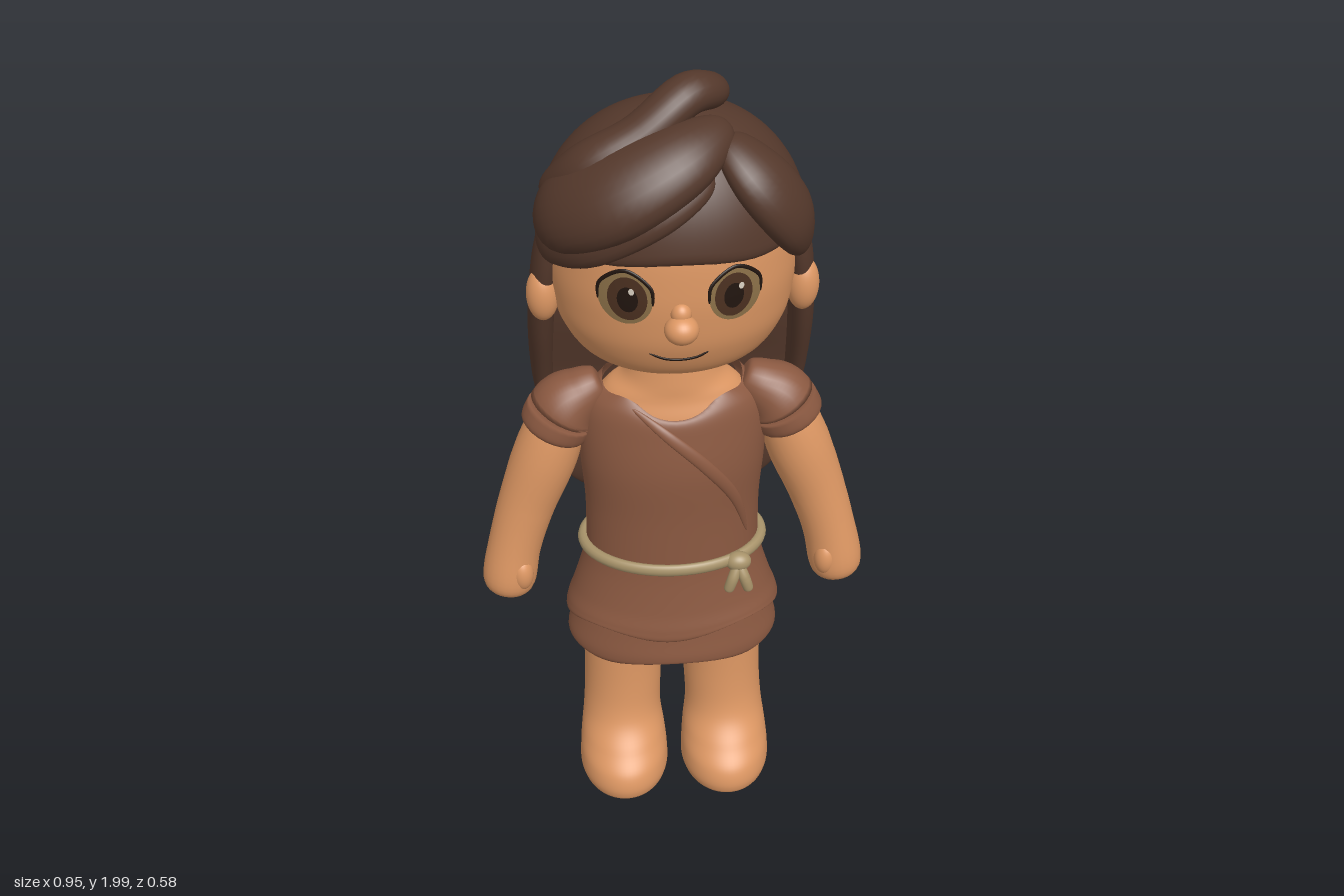
import * as THREE from 'three';

const paint = (name, color) => {
  const m = new THREE.MeshStandardMaterial({ color, side: THREE.DoubleSide });
  m.name = name;
  return m;
};

// Catmull-Rom interpolation through rows of numbers
function sample(rows, t) {
  const n = rows.length - 1, f = t * n, i = Math.min(Math.floor(f), n - 1), s = f - i;
  const at = k => rows[Math.max(0, Math.min(n, k))];
  const [a, b, c, d] = [at(i - 1), at(i), at(i + 1), at(i + 2)];
  return b.map((_, k) => b[k] + 0.5 * s * (c[k] - a[k]
    + s * (2 * a[k] - 5 * b[k] + 4 * c[k] - d[k] + s * (3 * (b[k] - c[k]) + d[k] - a[k]))));
}

// Closed-around grid surface, turned so that it faces outwards
function grid(fn, nu = 40, nv = 40) {
  const pos = [], idx = [];
  for (let j = 0; j <= nv; j++) for (let i = 0; i < nu; i++) pos.push(...fn(i / nu, j / nv));
  for (let j = 0; j < nv; j++) for (let i = 0; i < nu; i++) {
    const a = j * nu + i, b = j * nu + (i + 1) % nu;
    idx.push(a, b, b + nu, a, b + nu, a + nu);
  }
  const geo = new THREE.BufferGeometry();
  geo.setAttribute('position', new THREE.Float32BufferAttribute(pos, 3));
  geo.computeBoundingBox();
  const mid = geo.boundingBox.getCenter(new THREE.Vector3());
  const p = k => new THREE.Vector3().fromArray(pos, idx[k] * 3).sub(mid);
  let volume = 0;
  for (let k = 0; k < idx.length; k += 3) volume += p(k).dot(p(k + 1).cross(p(k + 2)));
  geo.setIndex(volume < 0 ? idx.reverse() : idx);
  geo.computeVertexNormals();
  return geo;
}

// Stacked ellipses: rows of [y, cx, cz, rx, rz]; shift moves heights for hems
const loft = (rows, shift = () => 0) => grid((u, v) => {
  const [y, cx, cz, rx, rz] = sample(rows, v), a = u * Math.PI * 2;
  return [cx + rx * Math.cos(a), y + shift(a, v), cz + rz * Math.sin(a)];
}, 64, 48);

// Rounded strand: rows of [x, y, z, radius], flattened towards a centre
function strand(rows, flat = 1, round = 4, centre = [0, 1.6, 0]) {
  const C = new THREE.Vector3(...centre);
  const at = t => new THREE.Vector3(...sample(rows, t).slice(0, 3));
  return grid((u, v) => {
    const t = 0.5 - 0.5 * Math.cos(Math.PI * v), P = at(t);
    const T = at(Math.min(1, t + 0.01)).sub(at(Math.max(0, t - 0.01))).normalize();
    const O = P.clone().sub(C).projectOnPlane(T).normalize(), S = T.clone().cross(O);
    const r = sample(rows, t)[3] * Math.sqrt(Math.max(0, 1 - Math.abs(2 * t - 1) ** (2 * round)));
    const a = u * Math.PI * 2;
    return P.addScaledVector(S, r * Math.cos(a)).addScaledVector(O, r * flat * Math.sin(a)).toArray();
  }, 24, 40);
}

const ball = (x, y, z, rx, ry, rz) =>
  new THREE.SphereGeometry(1, 32, 20).scale(rx, ry, rz).translate(x, y, z);

export function createModel() {
  const model = new THREE.Group();
  const skin = paint('skin', 0xdd9763), hair = paint('hair', 0x54382b), cloth = paint('cloth', 0x8b5941);
  const rope = paint('rope', 0xa8936a), ring = paint('eye rim', 0x8b7048), iris = paint('iris', 0x4b3020);
  const dark = paint('dark', 0x21150f), glint = paint('glint', 0xd8cfc0);
  const add = (name, geo, mat) => {
    const m = new THREE.Mesh(geo, mat);
    m.name = name;
    model.add(m);
  };

  // Head
  const profile = new THREE.SplineCurve([[0, 1.308], [0.12, 1.311], [0.208, 1.345], [0.257, 1.42], [0.274, 1.5],
    [0.277, 1.58], [0.265, 1.68], [0.22, 1.78], [0.12, 1.85], [0, 1.87]].map(p => new THREE.Vector2(...p))).getPoints(54);
  profile.forEach(p => { p.x = Math.max(0, p.x); });
  add('head', new THREE.LatheGeometry(profile, 64).scale(1, 1, 0.84).translate(0, 0, 0.01), skin);
  const faceZ = (x, y) => {
    const i = Math.max(1, profile.findIndex(p => p.y >= y)), a = profile[i - 1], b = profile[i];
    const r = a.x + (b.x - a.x) * (y - a.y) / (b.y - a.y);
    return 0.01 + 0.84 * Math.sqrt(Math.max(0, r * r - x * x));
  };
  // Thin ellipse laid on the face
  const patch = (cx, cy, rx, ry, lift) => {
    const geo = new THREE.RingGeometry(0.001, 1, 40, 6).scale(rx, ry, 1).translate(cx, cy, 0);
    const p = geo.attributes.position;
    for (let i = 0; i < p.count; i++) p.setZ(i, faceZ(p.getX(i), p.getY(i)) + lift);
    geo.computeVertexNormals();
    return geo;
  };
  const line = (pts, r) => strand(pts.map(([x, y]) => [x, y, faceZ(x, y) + 0.003, r]), 0.6, 2);

  add('nose', ball(0, 1.5, 0.253, 0.038, 0.033, 0.036), skin);
  add('noseBridge', ball(0, 1.532, 0.24, 0.023, 0.026, 0.022), skin);
  add('mouth', line([[-0.068, 1.424], [-0.035, 1.409], [0, 1.405], [0.035, 1.41], [0.062, 1.424]], 0.0042), dark);

  // Neck, chest and dress
  add('neck', loft([[1.08, 0, 0.015, 0.2, 0.12], [1.16, 0, 0.015, 0.195, 0.115], [1.215, 0, 0.015, 0.158, 0.1],
    [1.26, 0, 0.025, 0.11, 0.085], [1.36, 0, 0.03, 0.08, 0.068]]), skin);
  add('bodice', loft([[0.72, 0, 0.01, 0.215, 0.145], [0.88, 0, 0.012, 0.213, 0.143], [1.02, 0, 0.015, 0.222, 0.143],
    [1.13, 0, 0.015, 0.22, 0.13], [1.19, 0, 0.014, 0.203, 0.12], [1.23, 0, 0.013, 0.165, 0.104]],
  (a, v) => -(v ** 5) * (0.055 * Math.max(0, Math.sin(a)) ** 3 + 0.012 * Math.sin(5 * a))), cloth);
  add('overskirt', loft([[0.77, 0, 0.01, 0.212, 0.143], [0.7, 0, 0.01, 0.226, 0.15], [0.62, 0, 0.01, 0.25, 0.163],
    [0.575, 0, 0.01, 0.267, 0.174], [0.555, 0, 0.01, 0.268, 0.174], [0.555, 0, 0.01, 0.235, 0.145]],
  (a, v) => v ** 3 * (0.015 * Math.cos(a) - 0.026 * Math.cos(4 * a - 0.2))), cloth);
  add('underskirt', loft([[0.62, 0, 0.01, 0.235, 0.15], [0.53, 0, 0.01, 0.256, 0.162], [0.475, 0, 0.01, 0.268, 0.17],
    [0.452, 0, 0.01, 0.262, 0.165], [0.455, 0, 0.01, 0.23, 0.14], [0.48, 0, 0.01, 0, 0]],
  (a, v) => v ** 2 * 0.02 * Math.cos(4 * a)), cloth);
  add('sashFold', strand([[-0.1, 1.205, 0.115, 0.008], [-0.02, 1.15, 0.158, 0.014], [0.07, 1.06, 0.162, 0.016],
    [0.14, 0.95, 0.135, 0.014], [0.175, 0.82, 0.1, 0.006]], 0.5, 2, [0, 1, -0.2]), cloth);

  // Rope belt with knot
  add('belt', new THREE.TorusGeometry(1, 0.07, 12, 64).rotateX(Math.PI / 2).scale(0.22, 0.23, 0.152)
    .translate(0, 0.755, 0.01), rope);
  add('beltKnot', ball(0.152, 0.752, 0.135, 0.032, 0.025, 0.025), rope);
  for (const s of [-1, 1]) {
    add('beltTail', strand([[0.152, 0.75, 0.14, 0.013], [0.152 + s * 0.014, 0.715, 0.155, 0.014],
      [0.152 + s * 0.026, 0.675, 0.155, 0.013]]), rope);
  }

  for (const s of [-1, 1]) {
    const side = s > 0 ? 'left' : 'right';
    const mirror = rows => rows.map(([x, ...rest]) => [s * x, ...rest]);

    // Eyes, brows and ears
    const ex = s * 0.118, ey = 1.567;
    add(side + 'EyeRim', patch(ex, ey, 0.058, 0.064, 0.003), ring);
    add(side + 'Iris', patch(ex - s * 0.004, ey, 0.042, 0.052, 0.006), iris);
    add(side + 'Pupil', patch(ex - s * 0.004, ey, 0.022, 0.03, 0.009), dark);
    add(side + 'Glint', patch(ex + 0.012, ey + 0.022, 0.006, 0.008, 0.012), glint);
    add(side + 'Lash', line([-0.2, 0.5, 1.57, 2.64, 3.34].map(a =>
      [ex + 0.059 * Math.cos(a), ey + 0.065 * Math.sin(a)]), 0.0045), dark);
    add(side + 'Brow', line([[s * 0.065, 1.652], [s * 0.115, 1.666], [s * 0.17, 1.648]], 0.012), hair);
    add(side + 'Ear', ball(s * 0.293, 1.478, 0.04, 0.037, 0.066, 0.038), skin);

    // Arms
    add(side + 'Sleeve', strand(mirror([[0.165, 1.215, 0.005, 0.04], [0.205, 1.195, 0.01, 0.06],
      [0.252, 1.155, 0.012, 0.082], [0.288, 1.085, 0.014, 0.086]]), 1, 7), cloth);
    add(side + 'Arm', strand(mirror([[0.25, 1.18, 0.012, 0.07], [0.305, 1.02, 0.014, 0.078],
      [0.357, 0.88, 0.022, 0.07], [0.395, 0.75, 0.036, 0.066], [0.417, 0.625, 0.048, 0.078]]), 1, 3.5), skin);
    add(side + 'Thumb', ball(s * 0.377, 0.705, 0.08, 0.028, 0.048, 0.03), skin);

    // Legs and feet
    const x = s * 0.135;
    add(side + 'Leg', loft([[0.01, x, 0.08, 0, 0], [0.012, x, 0.08, 0.09, 0.115], [0.04, x, 0.078, 0.114, 0.143],
      [0.09, x, 0.072, 0.115, 0.14], [0.14, x, 0.05, 0.11, 0.121], [0.21, x, 0.022, 0.101, 0.1],
      [0.32, s * 0.13, 0.008, 0.1, 0.097], [0.52, s * 0.128, 0, 0.102, 0.103]]), skin);

    // Locks beside the face and ridges down the back
    add(side + 'SideLock', strand(mirror([[0.262, 1.69, 0.035, 0.04], [0.285, 1.55, 0.025, 0.05], [0.3, 1.38, -0.015, 0.05],
      [0.303, 1.22, -0.065, 0.043], [0.295, 1.1, -0.09, 0.034]]), 0.6, 4, [0, 1.4, -0.02]), hair);
    add(side + 'BackRidge', strand(mirror([[0.1, 1.66, -0.2, 0.02], [0.13, 1.48, -0.248, 0.036],
      [0.155, 1.27, -0.262, 0.038], [0.15, 1, -0.252, 0.014]]), 0.7, 2, [0, 1.4, 0]), hair);
  }

  // Long back hair, rounded behind and nearly flat in front: rows are [y, frontZ, halfWidth, depth]
  const fall = [[1.8, -0.03, 0.17, 0.12], [1.7, -0.03, 0.275, 0.185], [1.56, -0.035, 0.292, 0.225],
    [1.36, -0.05, 0.305, 0.235], [1.18, -0.085, 0.323, 0.205], [1.02, -0.09, 0.31, 0.195], [0.9, -0.085, 0.265, 0.165],
    [0.83, -0.095, 0.19, 0.115], [0.803, -0.115, 0.1, 0.06], [0.8, -0.13, 0, 0]];
  add('backHair', grid((u, v) => {
    const [y, front, width, depth] = sample(fall, v), a = u * Math.PI * 2, s = Math.sin(a);
    return [width * Math.cos(a), y, front + depth * (s < 0 ? s : 0.12 * s)];
  }, 64, 56), hair);

  // Hair cap with an inward-curled edge
  add('hairCap', grid((u, v) => {
    const a = u * Math.PI * 2, front = Math.max(0, Math.sin(a));
    const edge = 1.695 - 0.035 * front + 0.01 * Math.cos(4 * a);
    const k = Math.min(1, v / 0.86), phi = k * Math.acos((edge - 1.62) / 0.295);
    const curl = Math.max(0, (v - 0.86) / 0.14);
    const r = Math.sin(phi) ** 0.92 * (1 - 0.16 * curl * curl);
    return [0.3 * r * Math.cos(a), 1.62 + 0.295 * Math.cos(phi) - 0.02 * Math.sin(curl * Math.PI),
      0.008 + 0.243 * r * Math.sin(a)];
  }, 64, 50), hair);

  // Swept fringe and top curl
  add('fringeLower', strand([[0.07, 1.83, 0.165, 0.06], [-0.06, 1.78, 0.19, 0.085], [-0.18, 1.71, 0.165, 0.085],
    [-0.262, 1.66, 0.09, 0.07], [-0.285, 1.62, 0.02, 0.04]], 0.5, 3), hair);
  add('fringeUpper', strand([[0.11, 1.9, 0.09, 0.05], [0, 1.855, 0.165, 0.085], [-0.13, 1.79, 0.185, 0.1],
    [-0.235, 1.73, 0.125, 0.095], [-0.28, 1.67, 0.045, 0.055]], 0.65, 3), hair);
  add('fringeSide', strand([[0.1, 1.88, 0.11, 0.05], [0.175, 1.8, 0.16, 0.078], [0.24, 1.71, 0.145, 0.078],
    [0.278, 1.61, 0.1, 0.045]], 0.6, 3), hair);
  add('topCurl', strand([[0.085, 1.91, -0.055, 0.04], [0.075, 1.94, 0.01, 0.046], [0.02, 1.95, 0.06, 0.05],
    [-0.08, 1.885, 0.105, 0.05], [-0.19, 1.825, 0.115, 0.055], [-0.28, 1.74, 0.05, 0.04]], 0.85, 4), hair);

  return model;
}
